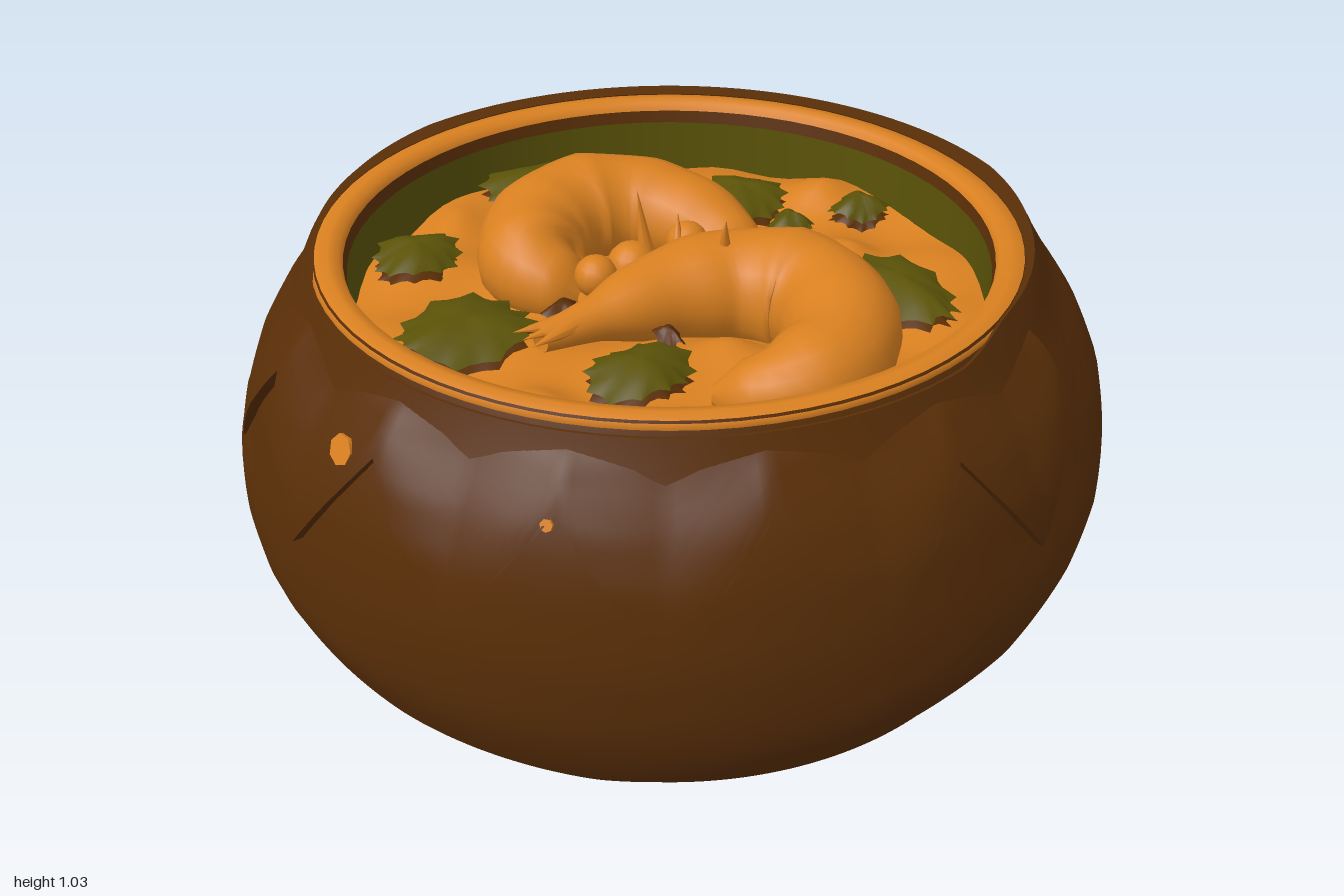
import * as THREE from 'three';
import { toCreasedNormals } from 'three/addons/utils/BufferGeometryUtils.js';

const DEG = Math.PI / 180;
const SOUP_Y = 0.78;

// Piecewise-linear lookup in a short list of [t, value] pairs
function lookup(table, t) {
  if (t <= table[0][0]) return table[0][1];
  for (let i = 1; i < table.length; i++) {
    const [t0, a] = table[i - 1], [t1, b] = table[i];
    if (t <= t1) return a + (b - a) * (t - t0) / (t1 - t0);
  }
  return table[table.length - 1][1];
}

// Surface from a rule fn(i, j) -> [x, y, z]
function grid(nu, nv, fn) {
  const pos = [], idx = [];
  for (let j = 0; j <= nv; j++) for (let i = 0; i <= nu; i++) pos.push(...fn(i, j));
  for (let j = 0; j < nv; j++) for (let i = 0; i < nu; i++) {
    const a = j * (nu + 1) + i, c = a + nu + 1;
    idx.push(a, a + 1, c + 1, a, c + 1, c);
  }
  const g = new THREE.BufferGeometry();
  g.setAttribute('position', new THREE.Float32BufferAttribute(pos, 3));
  g.setIndex(idx);
  return toCreasedNormals(g, 50 * DEG);
}

// Pot radius by height, with a fuller belly on the back-right side
const PROFILE = [[0, 0.75], [0.02, 0.785], [0.13, 0.86], [0.26, 0.925], [0.36, 0.947], [0.45, 0.955],
  [0.55, 0.945], [0.65, 0.93], [0.75, 0.895], [0.84, 0.848], [0.92, 0.82], [0.95, 0.805]];
const bulge = (deg, y) => 0.035 * (0.5 + 0.5 * Math.cos((deg - 135) * DEG)) * Math.sin(Math.PI * Math.min(1, y / 0.95));
const potRadius = (deg, y) => lookup(PROFILE, y) + bulge(deg, y);
const polar = (deg, r, y) => [Math.sin(deg * DEG) * r, y, Math.cos(deg * DEG) * r];

// Angle away from the high side of the wrap
const awayFromHigh = deg => Math.abs(((deg - 135) % 360 + 540) % 360 - 180);
const OUTER_EDGE = [[0, 0.9], [45, 0.885], [57, 0.84], [69, 0.77], [82, 0.64], [95, 0.5], [108, 0.37], [123, 0.25], [138, 0.17], [153, 0.12], [180, 0.08]];
const OUTER_TOP = [[110, 0.948], [122, 0.922]];
const OUTER_LIP = [[55, 0.058], [75, 0.03], [105, 0.006]];
const INNER_EDGE = [[31, 0.77], [34, 0.68], [45, 0.55], [57, 0.4], [69, 0.25], [80, 0.13], [90, 0.03]];

// Zigzag hem: 27 degree teeth, lowest at the given angle
function zigzag(deg, tooth) {
  const t = (((deg - tooth) / 27) % 1 + 1) % 1;
  return 0.5 + 0.29 * (1 - Math.abs(1 - 2 * t));
}

// Cloth layer hugging the pot: thick at its lower hem, easing to a lip at the top
function cloth(start, steps, { low, high, lip, edge, rest, fade }) {
  const rows = 16;
  return grid(steps, rows, (i, j) => {
    const deg = start + i * 1.5, lo = low(deg), hi = high(deg);
    const v = Math.min(1, Math.max(0, (j - 1) / (rows - 2)));
    const y = lo + (hi - lo) * v;
    let off = rest + (edge - rest) * Math.exp(-(((y - lo) / fade) ** 2));
    off += (lip(deg) - off) * v ** 3;
    if (j === 0) off = -0.02;
    if (j === rows) off = -0.012;
    return polar(deg, potRadius(deg, y) + off, y);
  });
}

// Curved body of varying thickness along a path
function taperedTube(points, radii, n = 44) {
  const curve = new THREE.CatmullRomCurve3(points.map(p => new THREE.Vector3(...p)));
  const up = new THREE.Vector3(0, 1, 0);
  return grid(18, n, (i, j) => {
    const t = j / n, p = curve.getPointAt(t), dir = curve.getTangentAt(t);
    const side = dir.cross(up).normalize(), a = i / 18 * Math.PI * 2;
    const r = lookup(radii, t) * (1 - 0.04 * Math.abs(Math.sin(t * Math.PI * 6)));
    p.addScaledVector(side, r * Math.cos(a)).addScaledVector(up, -r * Math.sin(a));
    return [p.x, p.y, p.z];
  });
}

// Domed leaf with a serrated outline
function leaf(x, z, rx, rz, base, height) {
  return grid(36, 5, (i, j) => {
    const a = (i % 36) / 36 * Math.PI * 2, s = 1 - j / 5;
    const tooth = 1 + s ** 5 * (i % 3 === 0 ? 0.1 : -0.06) + s * 0.09 * Math.sin(2 * a + x * 9);
    const y = base + height * (1 - s * s) + 0.01 * s * Math.sin(3 * a + z * 7);
    return [x + Math.sin(a) * rx * s * tooth, y, z + Math.cos(a) * rz * s * tooth];
  });
}

// Soup height: gentle ripples plus soft mounds at x, z
const MOUNDS = [[0.3, -0.48], [0.47, 0.08], [-0.5, 0.24], [-0.22, -0.6], [0.6, -0.2], [-0.35, 0.5], [-0.03, 0.28]];
function soupHeight(x, z) {
  const ripple = 0.016 * Math.sin(x * 15 + 1) * Math.cos(z * 14) + 0.01 * Math.sin(x * 9 - z * 11);
  return MOUNDS.reduce((y, [mx, mz]) => y + 0.04 * Math.exp(-((x - mx) ** 2 + (z - mz) ** 2) / 0.005), SOUP_Y + ripple);
}

export function createModel() {
  const model = new THREE.Group();
  const paint = (name, color) => {
    const m = new THREE.MeshStandardMaterial({ color, side: THREE.DoubleSide });
    m.name = name;
    return m;
  };
  const brown = paint('brown', 0x592e07);
  const orange = paint('orange', 0xd98020);
  const green = paint('green', 0x5a5208);
  const add = (name, geometry, material, parent = model) => {
    const mesh = new THREE.Mesh(geometry, material);
    mesh.name = name;
    parent.add(mesh);
    return mesh;
  };

  // Pot body and its flat base
  add('pot', grid(72, PROFILE.length - 1, (i, j) => {
    const y = PROFILE[j][0];
    return polar(i * 5, potRadius(i * 5, y), y);
  }), brown);
  const base = add('potBase', new THREE.CircleGeometry(0.75, 72), brown);
  base.rotation.x = Math.PI / 2;

  // Wrapped layers: a low diagonal one, a high diagonal one and a toothed collar
  add('innerWrap', cloth(-49, 240, {
    low: deg => awayFromHigh(deg) < 31.5 ? zigzag(deg, 117.5) : lookup(INNER_EDGE, awayFromHigh(deg)),
    high: () => 0.92, lip: () => -0.005, edge: 0.03, rest: 0.012, fade: 0.2,
  }), brown);
  add('outerWrap', cloth(-49, 240, {
    low: deg => lookup(OUTER_EDGE, awayFromHigh(deg)),
    high: deg => lookup(OUTER_TOP, awayFromHigh(deg)),
    lip: deg => lookup(OUTER_LIP, awayFromHigh(deg)), edge: 0.056, rest: 0.02, fade: 0.18,
  }), brown);
  add('toothedCollar', cloth(-116.5, 99, {
    low: deg => zigzag(deg, -35.5), high: () => 0.9, lip: () => -0.005, edge: 0.045, rest: 0.032, fade: 0.3,
  }), brown);

  // Rim and inner wall
  const ring = (name, pts, mat) => add(name, new THREE.LatheGeometry(pts.map(p => new THREE.Vector2(...p)), 72), mat);
  ring('rim', [[0.805, 0.915], [0.815, 0.935], [0.805, 0.948], [0.775, 0.954], [0.75, 0.948], [0.742, 0.93]], orange);
  ring('rimShadowBand', [[0.742, 0.93], [0.736, 0.9]], brown);
  ring('innerWall', [[0.736, 0.9], [0.732, 0.72]], green);

  // Lumpy soup surface
  add('soup', grid(90, 32, (i, j) => {
    const [x, , z] = polar((i % 90) * 4, 0.735 * (1 - j / 32), 0);
    return [x, soupHeight(x, z), z];
  }), orange);

  // Two curled shrimps
  const shrimps = new THREE.Group();
  shrimps.name = 'shrimps';
  model.add(shrimps);
  add('backShrimp', taperedTube(
    [[-0.18, 0.8, -0.09], [-0.225, 0.83, -0.22], [-0.15, 0.84, -0.345], [0, 0.845, -0.395], [0.14, 0.84, -0.34],
      [0.22, 0.83, -0.2], [0.24, 0.81, -0.08], [0.23, 0.79, -0.01]],
    [[0, 0.02], [0.04, 0.08], [0.18, 0.13], [0.5, 0.14], [0.8, 0.115], [0.95, 0.08], [1, 0.02]]), orange, shrimps);
  add('frontShrimp', taperedTube(
    [[-0.42, 0.86, 0.11], [-0.25, 0.86, 0.1], [-0.06, 0.85, 0.09], [0.1, 0.84, 0.13], [0.2, 0.84, 0.26],
      [0.18, 0.84, 0.4], [0.06, 0.83, 0.52], [-0.08, 0.82, 0.52], [-0.19, 0.8, 0.43]],
    [[0, 0.03], [0.12, 0.055], [0.2, 0.09], [0.32, 0.125], [0.5, 0.15], [0.7, 0.135], [0.85, 0.12], [0.95, 0.08], [1, 0.02]]), orange, shrimps);

  // Tail fan and feelers
  const spike = (name, from, to, r) => {
    const a = new THREE.Vector3(...from), d = new THREE.Vector3(...to).sub(a);
    const cone = add(name, new THREE.ConeGeometry(r, d.length(), 8), orange, shrimps);
    cone.position.copy(a).addScaledVector(d, 0.5);
    cone.quaternion.setFromUnitVectors(new THREE.Vector3(0, 1, 0), d.normalize());
  };
  [0.08, 0.12, 0.16].forEach(z => spike('tailFin', [-0.28, 0.87, 0.1], [-0.47, 0.88, z], 0.035));
  spike('feeler', [0.06, 0.93, 0.13], [0.05, 1.03, 0.15], 0.02);
  spike('feeler', [0.03, 0.8, -0.13], [0.02, 0.99, -0.16], 0.025);
  spike('feeler', [0.04, 0.8, -0.02], [0.08, 0.95, -0.08], 0.03);

  // Small lumps among the shrimps: x, y, z, radius
  [[-0.17, 0.87, -0.05, 0.05], [0.1, 0.87, -0.07, 0.05], [-0.01, 0.81, -0.14, 0.06]].forEach(([x, y, z, r]) => {
    add('soupLump', new THREE.SphereGeometry(r, 14, 10), orange).position.set(x, y, z);
  });

  // Herb leaves, each over a darker underside: x, z, half sizes
  [[0.04, -0.62, 0.15, 0.12], [-0.41, -0.46, 0.11, 0.1], [-0.5, -0.08, 0.17, 0.13], [0.41, -0.27, 0.11, 0.12],
    [0.41, -0.07, 0.055, 0.06], [0.61, -0.05, 0.07, 0.065], [0.42, 0.32, 0.1, 0.19], [-0.28, 0.29, 0.12, 0.11]
  ].forEach(([x, z, rx, rz]) => {
    add('herbLeaf', leaf(x, z, rx, rz, 0.82, 0.04), green);
    add('herbUnderside', leaf(x, z, rx * 0.95, rz * 0.95, 0.795, 0.03), brown);
  });
  [[0.11, -0.55, 0.065, 0.045], [-0.3, 0.01, 0.05, 0.04], [-0.17, 0.24, 0.025, 0.05]].forEach(([x, z, rx, rz]) => {
    add('spicePiece', leaf(x, z, rx, rz, 0.845, 0.025), brown);
  });

  // Soup drips on the outside
  [[-82, 0.77, 0.035], [-50, 0.765, 0.014]].forEach(([deg, y, r]) => {
    const drip = add('soupDrip', new THREE.CylinderGeometry(r, r, 0.009, 7), orange);
    drip.position.set(...polar(deg, potRadius(deg, y) + 0.04, y));
    drip.rotation.set(Math.PI / 2 - 0.4, deg * DEG, 0, 'YXZ');
  });

  return model;
}
